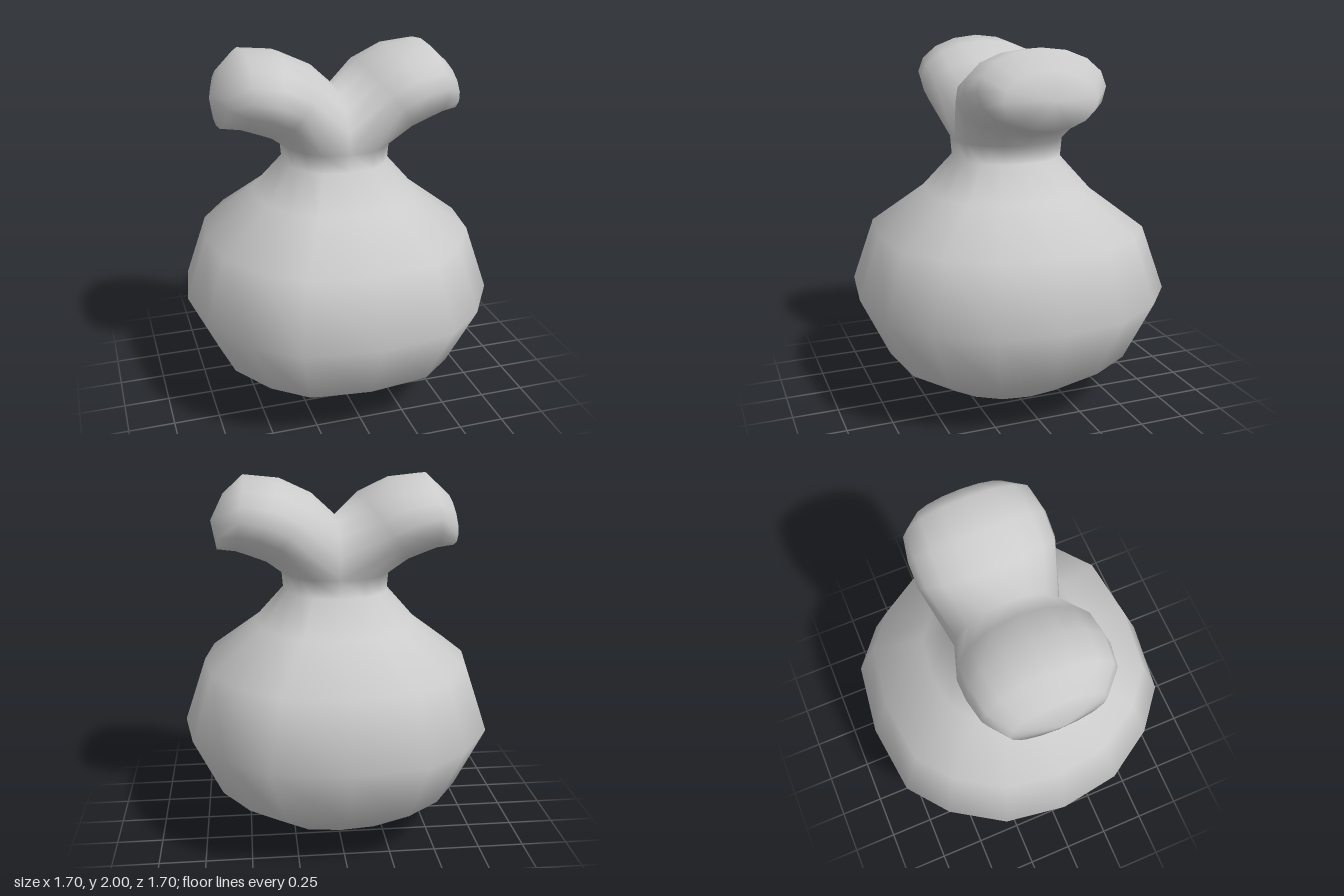
import * as THREE from 'three';

const N = 16; // sides of every cross-section

export function createModel() {
  const points = [], faces = [];
  const add = (x, y, z) => points.push([x, y, z]) - 1;
  // joins two loops of vertices with a band of quads
  const bridge = (a, b, flip) => {
    for (let j = 0; j < N; j++) {
      const k = (j + 1) % N;
      const quad = [a[j], b[j], b[k], a[j], b[k], a[k]];
      faces.push(...(flip ? quad.reverse() : quad));
    }
  };
  // closes a loop with a fan to one vertex
  const cap = (loop, tip, flip) => {
    for (let j = 0; j < N; j++) {
      const tri = [loop[j], tip, loop[(j + 1) % N]];
      faces.push(...(flip ? tri.reverse() : tri));
    }
  };

  // round body and neck: one quarter of the outline, repeated around
  const quarter = [[1, 0], [0.94, 0.4], [0.73, 0.73], [0.47, 0.94]];
  const outline = [
    ...quarter,
    [0, 1], ...quarter.slice(1).reverse().map(([x, z]) => [-x, z]),
    ...quarter.map(([x, z]) => [-x, -z]),
    [0, -1], ...quarter.slice(1).reverse().map(([x, z]) => [x, -z]),
  ];
  const profile = [[0.39, 0.085], [0.69, 0.29], [0.85, 0.63], [0.73, 0.985],
    [0.445, 1.2], [0.287, 1.38], [0.295, 1.48]];
  const rings = profile.map(([r, y]) => outline.map(([x, z]) => add(x * r, y, z * r)));
  cap(rings[0], add(0, 0, 0), true);
  for (let i = 1; i < rings.length; i++) bridge(rings[i - 1], rings[i]);
  const neck = rings[rings.length - 1];

  // saddle arc between the two lobes, from front of neck to back
  const saddle = [];
  for (let j = 5; j < 12; j++) {
    const a = j / N * Math.PI * 2;
    saddle[j] = add(0, 1.48 - 0.3 * Math.cos(a), 0.3 * Math.sin(a));
  }

  // lobes: top x, top y, bottom x, bottom y, half depth
  const sections = [
    [0.13, 1.9, 0.39, 1.545, 0.37],
    [0.3, 1.98, 0.47, 1.575, 0.37],
    [0.49, 2.0, 0.54, 1.6, 0.345],
    [0.6, 1.9, 0.64, 1.61, 0.25],
  ];
  for (const side of [1, -1]) {
    const flip = side < 0;
    let previous = outline.map((_, j) =>
      j > 4 && j < 12 ? saddle[j] : neck[flip ? (8 - j + N) % N : j]);
    for (const [tx, ty, bx, by, depth] of sections) {
      const loop = outline.map((_, j) => {
        const a = j / N * Math.PI * 2, t = (1 + Math.cos(a)) / 2;
        return add(side * (tx + (bx - tx) * t), ty + (by - ty) * t, depth * Math.sin(a));
      });
      bridge(previous, loop, flip);
      previous = loop;
    }
    cap(previous, add(side * 0.67, 1.76, 0), flip);
  }

  const geometry = new THREE.BufferGeometry();
  geometry.setAttribute('position', new THREE.Float32BufferAttribute(points.flat(), 3));
  geometry.setIndex(faces);
  geometry.computeVertexNormals();

  const mesh = new THREE.Mesh(geometry, new THREE.MeshStandardMaterial({ color: 0xcccccc }));
  mesh.name = 'bodyWithTwoLobes';
  const group = new THREE.Group();
  group.name = 'forkedGourd';
  group.add(mesh);
  return group;
}
